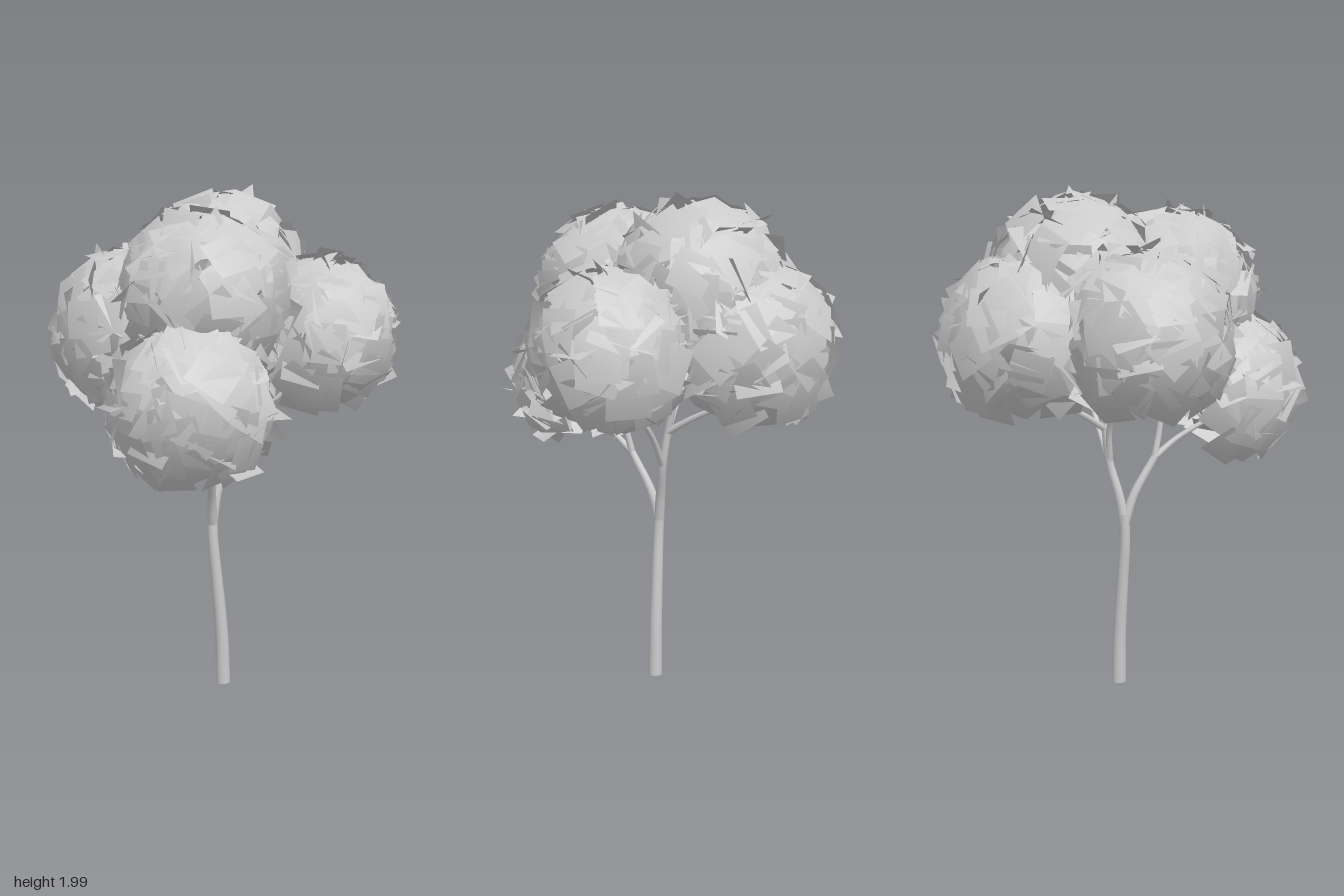
import * as THREE from 'three';

// Small seeded random generator
let seed = 7;
const rand = () => {
  seed = (seed * 16807) % 2147483647;
  return seed / 2147483647;
};
const spread = (a) => (rand() * 2 - 1) * a;
const vec = (p) => new THREE.Vector3(...p);

const barkMaterial = new THREE.MeshStandardMaterial({ color: 0xcccccc });
const leafMaterial = new THREE.MeshStandardMaterial({ color: 0xcccccc, side: THREE.DoubleSide });

// Boughs: fork points shared by the branches
const frontFork = [-0.12, 0.92, 0.15];
const backFork = [0.005, 0.9, 0.02];
const crown = [0.015, 1.04, 0];

// Each leaf cluster: centre, radius and the branch that carries it
const clusters = [
  { centre: [-0.3, 1.2, 0.35], r: 0.305, branch: [frontFork, [-0.17, 0.99, 0.23], [-0.25, 1.06, 0.32]] },
  { centre: [-0.17, 1.58, 0.2], r: 0.32, branch: [frontFork, [-0.125, 1.05, 0.18], [-0.14, 1.35, 0.19]] },
  { centre: [0.31, 1.41, 0.2], r: 0.305, branch: [backFork, [0.1, 1.05, 0.06], [0.22, 1.2, 0.14]] },
  { centre: [0.06, 1.6, -0.12], r: 0.35, branch: [crown, [0.03, 1.18, -0.03], [0.05, 1.45, -0.09]] },
  { centre: [0.14, 1.41, -0.32], r: 0.325, branch: [crown, [0.05, 1.1, -0.09], [0.11, 1.18, -0.24]] },
  { centre: [-0.29, 1.42, -0.14], r: 0.325, branch: [backFork, [-0.02, 1.06, -0.01], [-0.17, 1.24, -0.07]] },
];

// Tapered tube through a few points
function limb(name, points, r0, r1, sides = 10) {
  const curve = new THREE.CatmullRomCurve3(points.map(vec));
  const segments = points.length * 3;
  const geometry = new THREE.TubeGeometry(curve, segments, 1, sides, false);
  const pos = geometry.attributes.position;
  const v = new THREE.Vector3();
  for (let i = 0; i <= segments; i++) {
    const t = i / segments;
    const centre = curve.getPointAt(t);
    for (let j = 0; j <= sides; j++) {
      const k = i * (sides + 1) + j;
      v.fromBufferAttribute(pos, k).sub(centre).multiplyScalar(r0 + (r1 - r0) * t).add(centre);
      pos.setXYZ(k, v.x, v.y, v.z);
    }
  }
  const mesh = new THREE.Mesh(geometry, barkMaterial);
  mesh.name = name;
  return mesh;
}

// Cards are left out on the low side facing the trunk and deep inside other clusters
function isHidden(cluster, dir) {
  const centre = vec(cluster.centre);
  const inward = new THREE.Vector3(-centre.x, 0, -centre.z).normalize();
  if (dir.y < 0.1 && dir.dot(inward) > 0.3) return true;
  const point = dir.clone().multiplyScalar(cluster.r).add(centre);
  return clusters.some((c) => c !== cluster && point.distanceTo(vec(c.centre)) < c.r * 0.75);
}

// Open dome of overlapping square leaf cards, shaded like a ball
function leafCluster(cluster, count) {
  const positions = [], normals = [], indices = [];
  const lowest = -0.78;
  const card = new THREE.Object3D();
  const v = new THREE.Vector3();
  const outward = new THREE.Vector3(0, 0, 1);
  for (let i = 0; i < count; i++) {
    const y = 1 - (1 - lowest) * (i + 0.5) / count;
    const angle = i * 2.39996 + spread(0.2);
    const ring = Math.sqrt(1 - y * y);
    const dir = new THREE.Vector3(Math.cos(angle) * ring, y, Math.sin(angle) * ring);
    if (isHidden(cluster, dir)) continue;
    // Every third card stands up steeply and pokes a corner out
    const steep = i % 3 === 0;
    card.position.copy(dir).multiplyScalar(cluster.r * (steep ? 0.85 : 0.95 + spread(0.04)));
    card.quaternion.setFromUnitVectors(outward, dir);
    card.rotateZ(rand() * Math.PI * 2);
    card.rotateX(steep ? 0.9 + spread(0.4) : spread(0.22));
    card.rotateY(spread(0.22));
    card.rotateZ(rand() * Math.PI);
    card.updateMatrix();
    const half = 0.078 + spread(0.008);
    const face = outward.clone().applyQuaternion(card.quaternion);
    const base = positions.length / 3;
    for (const [sx, sy] of [[-1, -1], [1, -1], [1, 1], [-1, 1]]) {
      v.set(sx * half, sy * half, 0).applyMatrix4(card.matrix);
      positions.push(v.x, v.y, v.z);
      v.normalize().add(face).normalize();
      normals.push(v.x, v.y, v.z);
    }
    indices.push(base, base + 1, base + 2, base, base + 2, base + 3);
  }
  const geometry = new THREE.BufferGeometry();
  geometry.setAttribute('position', new THREE.Float32BufferAttribute(positions, 3));
  geometry.setAttribute('normal', new THREE.Float32BufferAttribute(normals, 3));
  geometry.setIndex(indices);
  const mesh = new THREE.Mesh(geometry, leafMaterial);
  mesh.name = 'leafCluster';
  mesh.position.copy(vec(cluster.centre));
  return mesh;
}

export function createModel() {
  const tree = new THREE.Group();
  tree.name = 'tree';

  // Trunk with a closed foot
  tree.add(limb('trunk', [[-0.017, 0, 0.052], [-0.022, 0.2, 0.05], [-0.04, 0.42, 0.045],
    [-0.056, 0.6, 0.04], [-0.055, 0.7, 0.035]], 0.029, 0.02, 12));
  const foot = new THREE.Mesh(new THREE.CircleGeometry(0.029, 12), barkMaterial);
  foot.name = 'trunkFoot';
  foot.rotation.x = Math.PI / 2;
  foot.position.set(-0.017, 0, 0.052);
  tree.add(foot);

  // Main fork
  const start = [-0.056, 0.66, 0.037];
  tree.add(limb('frontBough', [start, [-0.075, 0.77, 0.07], frontFork], 0.02, 0.015));
  tree.add(limb('backBough', [start, [-0.035, 0.77, 0.03], backFork, crown], 0.021, 0.014));

  for (const cluster of clusters) {
    const { centre, r, branch } = cluster;
    tree.add(leafCluster(cluster, 150));
    const tip = branch[branch.length - 1];
    tree.add(limb('branch', branch, 0.014, 0.009, 8));
    // Twigs fanning out under the leaves
    const turn = rand() * 6;
    for (let k = 0; k < 5; k++) {
      const a = turn + k * Math.PI * 0.4;
      const end = [centre[0] + Math.cos(a) * r * 0.6, centre[1] + spread(0.08), centre[2] + Math.sin(a) * r * 0.6];
      const mid = end.map((e, i) => (e + tip[i]) / 2 + spread(0.02));
      tree.add(limb('twig', [tip, mid, end], 0.008, 0.004, 6));
    }
  }
  return tree;
}
